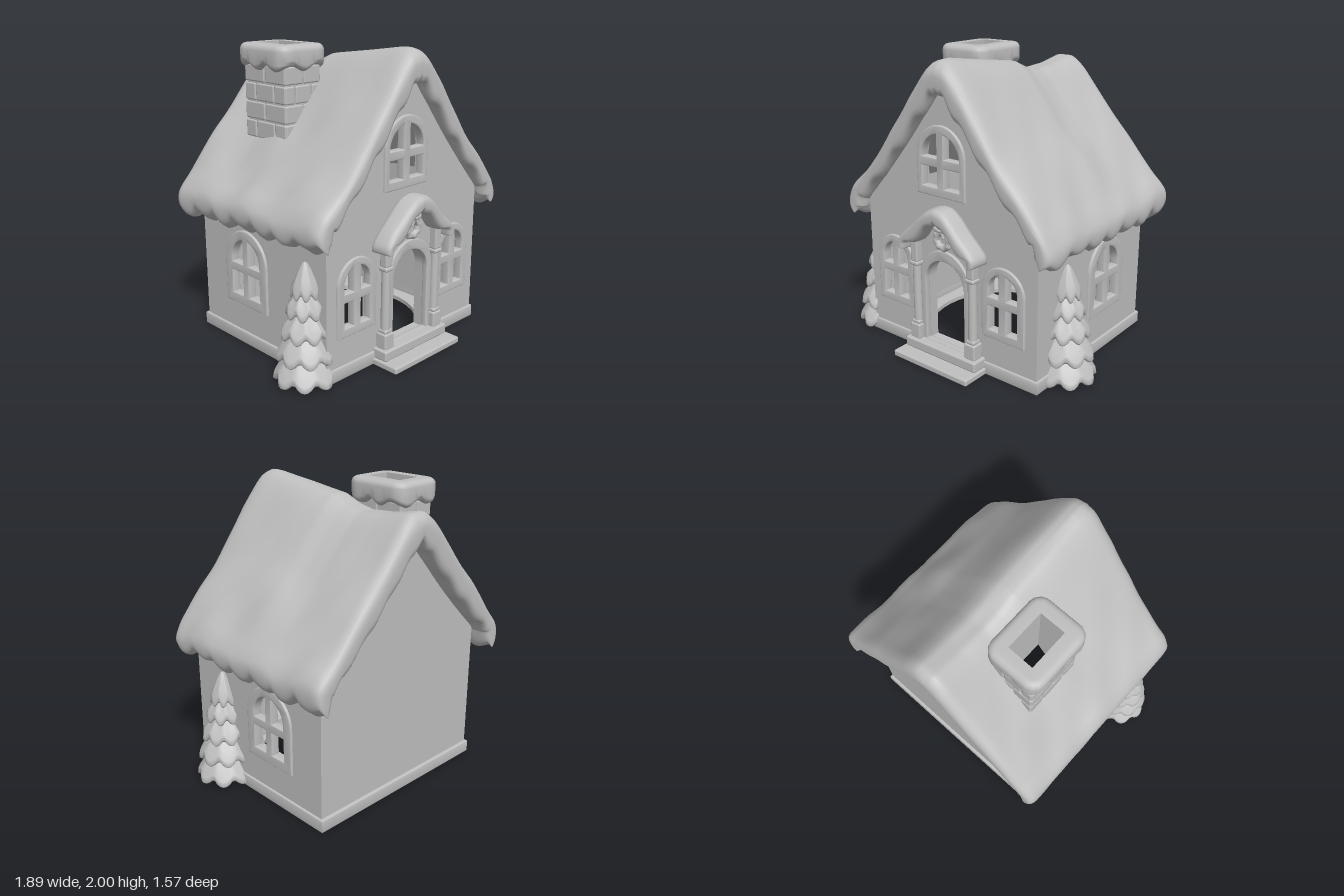
import * as THREE from 'three';
import { toCreasedNormals } from 'three/addons/utils/BufferGeometryUtils.js';
import { RoundedBoxGeometry } from 'three/addons/geometries/RoundedBoxGeometry.js';

const clay = new THREE.MeshStandardMaterial({ color: 0xbfbfbf });
clay.name = 'clay grey';

function add(parent, name, geometry, x = 0, y = 0, z = 0) {
  const mesh = new THREE.Mesh(geometry, clay);
  mesh.name = name;
  mesh.position.set(x, y, z);
  parent.add(mesh);
  return mesh;
}
const poly = pts => new THREE.Shape(pts.map(p => new THREE.Vector2(...p)));
const rect = (x0, y0, x1, y1) => poly([[x0, y0], [x1, y0], [x1, y1], [x0, y1]]);
const box = (w, h, d, r = 0.012) => new RoundedBoxGeometry(w, h, d, 2, r);

// Round-headed outline, w is half the width
function arch(cx, w, y0, y1) {
  const s = new THREE.Shape();
  s.moveTo(cx - w, y0).lineTo(cx + w, y0).lineTo(cx + w, y1 - w);
  s.absarc(cx, y1 - w, w, 0, Math.PI, false);
  return s;
}
function extrude(shape, depth, bevel = 0) {
  const g = new THREE.ExtrudeGeometry(shape, {
    depth, curveSegments: 20, bevelEnabled: bevel > 0, bevelSize: bevel, bevelThickness: bevel, bevelSegments: 3,
  });
  return toCreasedNormals(g, 0.6);
}

// Arched frame with four panes
function windowFrame({ cx, w, y0, y1, pw, py0, py1, bar }) {
  const s = arch(cx, w, y0, y1), m = 0.022, spring = py1 - pw;
  for (const k of [-1, 1]) {
    s.holes.push(rect(cx + k * m, py0, cx + k * pw, bar - m));
    const pts = [[cx + k * m, bar + m], [cx + k * pw, bar + m]], end = Math.acos(m / pw);
    for (let i = 0; i <= 12; i++) {
      const a = end * i / 12;
      pts.push([cx + k * pw * Math.cos(a), spring + pw * Math.sin(a)]);
    }
    s.holes.push(poly(pts));
  }
  return extrude(s, 0.045, 0.008);
}

// Wall plate with openings; its outside is at local z = 0
function wall(name, shape, windows) {
  const g = new THREE.Group();
  g.name = name;
  for (const o of windows) shape.holes.push(arch(o.cx, o.pw + 0.01, o.py0 - 0.01, o.py1 + 0.01));
  add(g, name + 'Panel', extrude(shape, 0.07), 0, 0, -0.07);
  for (const o of windows) add(g, 'windowFrame', windowFrame(o), 0, 0, -0.036);
  return g;
}

// Pitched snow slab: mirrored outer and inner half profiles swept along z.
// Sections are [z, thickness factor]; bend adjusts a point; hole is [x0, x1, z0, z1].
function snowRoof(outer, inner, sections, bend, hole) {
  const curve = pts => new THREE.CatmullRomCurve3(pts.map(p => new THREE.Vector3(p[0], p[1], 0)));
  const half = (outer.length - 1) * 4, n = half * 2, M = 2 * n + 2;
  const O = curve(outer), I = curve(inner), pos = [], idx = [];
  for (const [z, k] of sections) {
    const top = [], low = [];
    for (let i = -half; i <= half; i++) {
      const t = Math.abs(i) / half, s = Math.sign(i);
      const a = O.getPoint(t), b = I.getPoint(t);
      a.y += bend(a.x * s, z, t, true);
      b.y += bend(b.x * s, z, t, false);
      const mid = a.clone().lerp(b, 0.5);
      for (const [p, list] of [[a, top], [b, low]]) {
        p.sub(mid).multiplyScalar(k).add(mid);
        list.push([p.x * s, p.y, z]);
      }
    }
    pos.push(...top.flat(), ...low.reverse().flat());
  }
  const inHole = (a, c) => {
    if (!hole) return false;
    const x = (pos[a * 3] + pos[c * 3]) / 2, z = (pos[a * 3 + 2] + pos[c * 3 + 2]) / 2;
    return x > hole[0] && x < hole[1] && z > hole[2] && z < hole[3];
  };
  const last = sections.length - 1;
  for (let s = 0; s < last; s++) for (let i = 0; i < M; i++) {
    const a = s * M + i, b = s * M + (i + 1) % M, c = b + M, d = a + M;
    if (!inHole(a, c)) idx.push(a, d, b, b, d, c);
  }
  for (let i = 0; i < n; i++) {
    const q = [2 * n + 1 - i, 2 * n - i, i + 1, i], f = q.map(v => v + last * M);
    idx.push(f[0], f[1], f[2], f[0], f[2], f[3], q[0], q[2], q[1], q[0], q[3], q[2]);
  }
  const g = new THREE.BufferGeometry();
  g.setAttribute('position', new THREE.Float32BufferAttribute(pos, 3));
  g.setIndex(idx);
  g.computeVertexNormals();
  return g;
}

// Snowy fir: stacked skirts with scalloped hems, kept flat against the wall
function tree(side, z) {
  const g = new THREE.Group(), cx = side * 0.738;
  g.name = side > 0 ? 'leftTree' : 'rightTree';
  const tiers = [[0.03, 0.195, 0.24], [0.17, 0.177, 0.38], [0.315, 0.148, 0.5], [0.455, 0.118, 0.63], [0.575, 0.088, 0.78]];
  tiers.forEach(([y, r, top], n) => {
    const h = top - y;
    const profile = [[0.001, 0.03], [r * 0.7, 0.015], [r * 0.93, 0], [r, 0.015], [r * 0.97, 0.05], [r * 0.72, h * 0.48],
      [r * 0.45, h * 0.76], [r * 0.17, h * 0.97], [0.001, h]];
    const geo = new THREE.LatheGeometry(profile.map(p => new THREE.Vector2(...p)), 56), p = geo.attributes.position;
    for (let i = 0; i < p.count; i++) {
      const x = p.getX(i), zz = p.getZ(i), rr = Math.hypot(x, zz) / r;
      const lobe = Math.abs(Math.cos(Math.atan2(zz, x) * 4 + n * 0.9)) - 0.5, f = 1 + 0.13 * lobe * rr;
      const wx = side * Math.max(0.68, side * (cx + x * f));
      p.setXYZ(i, wx, Math.max(0, p.getY(i) + y - 0.05 * lobe * rr * rr), zz * f + z);
    }
    geo.computeVertexNormals();
    add(g, 'treeTier', geo);
  });
  return g;
}

function chimney() {
  const g = new THREE.Group(), cx = -0.35, cz = -0.205;
  g.name = 'chimney';
  const ring = (w, d, r) => {
    const s = new THREE.Shape();
    [[1, 1, 0], [-1, 1, 1], [-1, -1, 2], [1, -1, 3]].forEach(([a, b, q]) =>
      s.absarc(a * (w - r), b * (d - r), r, q * Math.PI / 2, (q + 1) * Math.PI / 2, false));
    s.closePath();
    const out = new THREE.Shape(s.getSpacedPoints(72));
    out.holes.push(rect(-0.085, -0.135, 0.09, 0.135));
    return out;
  };
  // Hollow shaft whose foot follows the roof slope
  const shaft = extrude(ring(0.142, 0.197, 0.01), 0.75).rotateX(-Math.PI / 2), p = shaft.attributes.position;
  for (let i = 0; i < p.count; i++) if (p.getY(i) < 0.1) p.setY(i, 0.61 - 1.16 * Math.abs(p.getX(i) + cx));
  add(g, 'chimneyShaft', shaft, cx, 1.17, cz);
  // Bricks in staggered courses
  for (let row = 0; row < 6; row++) {
    const y = 1.2 + row * 0.122;
    const cuts = row % 2 ? [-1, 0, 1] : [-1, -0.45, 0.45, 1];
    for (let c = 1; c < cuts.length; c++) for (const s of [-1, 1]) {
      const u = (cuts[c] + cuts[c - 1]) / 2, len = cuts[c] - cuts[c - 1];
      const put = (x, z, w, d) => {
        if (y - 0.06 > 1.78 - 1.16 * Math.abs(x)) add(g, 'brick', box(w, 0.112, d, 0.01), x, y, z);
      };
      put(cx + u * 0.15, cz + s * 0.192, len * 0.15 - 0.01, 0.03);
      put(cx + s * 0.136, cz + u * 0.205, 0.03, len * 0.205 - 0.01);
    }
  }
  // Snow cap with a dripping hem
  const cap = new THREE.ExtrudeGeometry(ring(0.15, 0.195, 0.04), { depth: 0.07, bevelSize: 0.045, bevelThickness: 0.04, bevelSegments: 5 });
  cap.rotateX(-Math.PI / 2);
  const q = cap.attributes.position;
  for (let i = 0; i < q.count; i++) {
    const x = q.getX(i), z = q.getZ(i), a = Math.atan2(z, x);
    // Keep the flue opening at its own size
    if (Math.abs(x) < 0.1 && Math.abs(z) < 0.14) q.setXYZ(i, x < 0 ? -0.085 : 0.09, q.getY(i), Math.sign(z) * 0.135);
    else if (q.getY(i) < 0.04) q.setY(i, q.getY(i) + 0.018 * Math.sin(a * 7));
  }
  add(g, 'chimneySnow', toCreasedNormals(cap, 0.9), cx, 1.89, cz);
  return g;
}

function porch() {
  const g = new THREE.Group();
  g.name = 'porch';
  add(g, 'lowerStep', box(0.64, 0.045, 0.22), 0, 0.0225, 0.68);
  add(g, 'upperStep', box(0.61, 0.07, 0.12), 0, 0.077, 0.628);
  const face = poly([[-0.21, 0.1], [0.21, 0.1], [0.21, 0.83], [0, 1.02], [-0.21, 0.83]]);
  face.holes.push(arch(0, 0.17, 0.105, 0.715));
  add(g, 'porchFace', extrude(face, 0.09), 0, 0, 0.51);
  const trim = arch(0, 0.205, 0.11, 0.775);
  trim.holes.push(arch(0, 0.17, 0.112, 0.715));
  add(g, 'doorTrim', extrude(trim, 0.03, 0.005), 0, 0, 0.585);
  for (const s of [-1, 1]) {
    const x = s * 0.24, z = 0.62;
    add(g, 'pillarBase', box(0.085, 0.11, 0.085), x, 0.16, z);
    add(g, 'pillar', new THREE.CylinderGeometry(0.028, 0.031, 0.65, 20), x, 0.52, z);
    add(g, 'pillarFoot', box(0.068, 0.03, 0.068), x, 0.225, z);
    add(g, 'pillarCapital', box(0.072, 0.03, 0.072), x, 0.65, z);
    add(g, 'pillarHead', box(0.06, 0.18, 0.06), x, 0.75, z);
  }
  add(g, 'porchSnow', snowRoof(
    [[0, 1.09], [0.06, 1.075], [0.12, 1.03], [0.2, 0.95], [0.28, 0.88], [0.325, 0.82], [0.325, 0.78], [0.3, 0.765]],
    [[0, 0.985], [0.04, 0.965], [0.08, 0.925], [0.14, 0.87], [0.2, 0.82], [0.26, 0.795], [0.27, 0.775], [0.285, 0.765]],
    [[0.56, 1], [0.6, 1], [0.64, 1], [0.68, 0.95], [0.7, 0.82], [0.713, 0.6], [0.72, 0.3]],
    (x, z, t, top) => top ? 0.006 * Math.sin(20 * x + 9 * z) : -0.014 * Math.sin(t * 16)));
  // Wreath with a bow
  const wreath = new THREE.TorusGeometry(0.053, 0.023, 12, 60), p = wreath.attributes.position;
  for (let i = 0; i < p.count; i++) {
    const f = 1 + 0.05 * Math.sin(Math.atan2(p.getY(i), p.getX(i)) * 8);
    p.setXYZ(i, p.getX(i) * f, p.getY(i) * f, p.getZ(i) * f);
  }
  wreath.computeVertexNormals();
  add(g, 'wreath', wreath, 0, 0.862, 0.622);
  for (const s of [-1, 1]) {
    const loop = add(g, 'bowLoop', new THREE.SphereGeometry(0.028, 16, 12), s * 0.032, 0.937, 0.645);
    loop.scale.set(1, 0.7, 0.5);
    loop.rotation.z = s * 0.35;
    const tail = add(g, 'bowTail', box(0.018, 0.05, 0.014, 0.005), s * 0.018, 0.905, 0.645);
    tail.rotation.z = s * 0.4;
  }
  add(g, 'bowKnot', new THREE.SphereGeometry(0.015, 16, 12), 0, 0.935, 0.652);
  return g;
}

export function createModel() {
  const house = new THREE.Group();
  house.name = 'snowyHouse';
  const body = new THREE.Group();
  body.name = 'houseBody';
  body.position.x = 0.01;

  // Thin floor with a round opening, and a plinth around it
  const floor = rect(-0.7, -0.57, 0.7, 0.64);
  floor.holes.push(new THREE.Path().absarc(0, 0.035, 0.55, 0, Math.PI * 2, true));
  add(body, 'floor', extrude(floor, 0.03).rotateX(-Math.PI / 2));
  const plinth = rect(-0.718, -0.582, 0.718, 0.66);
  plinth.holes.push(rect(-0.655, -0.52, 0.655, 0.59));
  add(body, 'plinth', extrude(plinth, 0.07, 0.01).rotateX(-Math.PI / 2), 0, 0.01, 0);

  // Walls
  const gable = apex => poly([[-0.715, 0.05], [0.715, 0.05], [0.715, 1.04], [0, apex], [-0.715, 1.04]]);
  const lower = cx => ({ cx, w: 0.16, y0: 0.288, y1: 0.77, pw: 0.12, py0: 0.33, py1: 0.735, bar: 0.535 });
  const attic = { cx: -0.034, w: 0.192, y0: 1.138, y1: 1.585, pw: 0.165, py0: 1.18, py1: 1.545, bar: 1.35 };
  const frontShape = gable(1.9);
  frontShape.holes.push(arch(0, 0.175, 0.1, 0.72));
  const front = wall('frontWall', frontShape, [lower(-0.467), lower(0.458), attic]);
  front.position.z = 0.58;
  const back = wall('backWall', gable(1.78), []);
  back.rotation.y = Math.PI;
  back.position.z = -0.65;
  body.add(front, back);
  for (const s of [-1, 1]) {
    const side = wall(s > 0 ? 'leftWall' : 'rightWall', rect(s * 0.035 - 0.545, 0.05, s * 0.035 + 0.545, 1.08), [
      { cx: s * 0.18, w: 0.205, y0: 0.293, y1: 0.805, pw: 0.15, py0: 0.345, py1: 0.755, bar: 0.545 }]);
    side.rotation.y = s * Math.PI / 2;
    side.position.x = s * 0.715;
    body.add(side);
  }

  // Main snow roof: sagging ridge, scalloped eaves, dripping gable lips
  const sag = [[-0.79, 0.13], [-0.71, 0.105], [-0.5, 0.145], [-0.31, 0.16], [-0.18, 0.13], [-0.07, 0.08], [0.245, 0.04], [0.53, 0], [0.6, 0.003], [0.7, 0.035]];
  const sagAt = z => {
    const i = Math.max(1, sag.findIndex(p => p[0] >= z)), [a, b] = [sag[i - 1], sag[i]];
    return THREE.MathUtils.mapLinear(z, a[0], b[0], a[1], b[1]);
  };
  const bend = (x, z, t, top) => {
    const u = Math.min(1, Math.abs(x) / 0.85);
    let y = -sagAt(z) * (1 - u);
    const eave = THREE.MathUtils.smoothstep(t, 0.8, 0.96);
    y -= eave * (0.045 * Math.abs(Math.sin(Math.PI * (z - 0.04) / 0.2)) + (z < -0.6 ? 0.015 : 0) - 0.015 - 0.012 * z);
    if (top) {
      y += 0.03 * Math.sin(Math.PI * u) * (1 - THREE.MathUtils.smoothstep(z, 0.2, 0.6));
      y += u * (0.022 * Math.sin(9 * x + 5 * z) * Math.sin(7 * z - 4 * x + 1) + 0.012 * Math.sin(17 * x - 6 * z) * Math.sin(13 * z));
    } else if (z > 0.59) y += (1 - eave) * (0.022 * Math.cos(t * 38 + 2.6) - 0.005);
    else if (z < -0.66) y += (1 - eave) * 0.012 * Math.cos(t * 38);
    return y;
  };
  const sections = [[-0.782, 0.3], [-0.776, 0.6], [-0.763, 0.84]];
  for (let i = 0; i <= 59; i++) sections.push([-0.745 + i * 0.0225, i < 1 ? 0.95 : 1]);
  sections.push([0.605, 0.97], [0.63, 0.91], [0.65, 0.78], [0.664, 0.57], [0.67, 0.3]);
  add(body, 'roofSnow', snowRoof(
    [[0, 2], [0.06, 1.98], [0.13, 1.915], [0.2, 1.825], [0.27, 1.727], [0.355, 1.61], [0.44, 1.497], [0.535, 1.384],
      [0.64, 1.26], [0.74, 1.145], [0.81, 1.065], [0.85, 0.99], [0.845, 0.92], [0.8, 0.885]],
    [[0, 1.83], [0.05, 1.78], [0.1, 1.715], [0.17, 1.63], [0.27, 1.502], [0.355, 1.398], [0.44, 1.298], [0.535, 1.19],
      [0.63, 1.085], [0.69, 1.02], [0.715, 0.985], [0.725, 0.95], [0.745, 0.91], [0.77, 0.885]],
    sections, bend, [-0.44, -0.27, -0.34, -0.07]));

  body.add(porch());
  house.add(body, chimney(), tree(1, 0.29), tree(-1, 0.43));
  return house;
}
